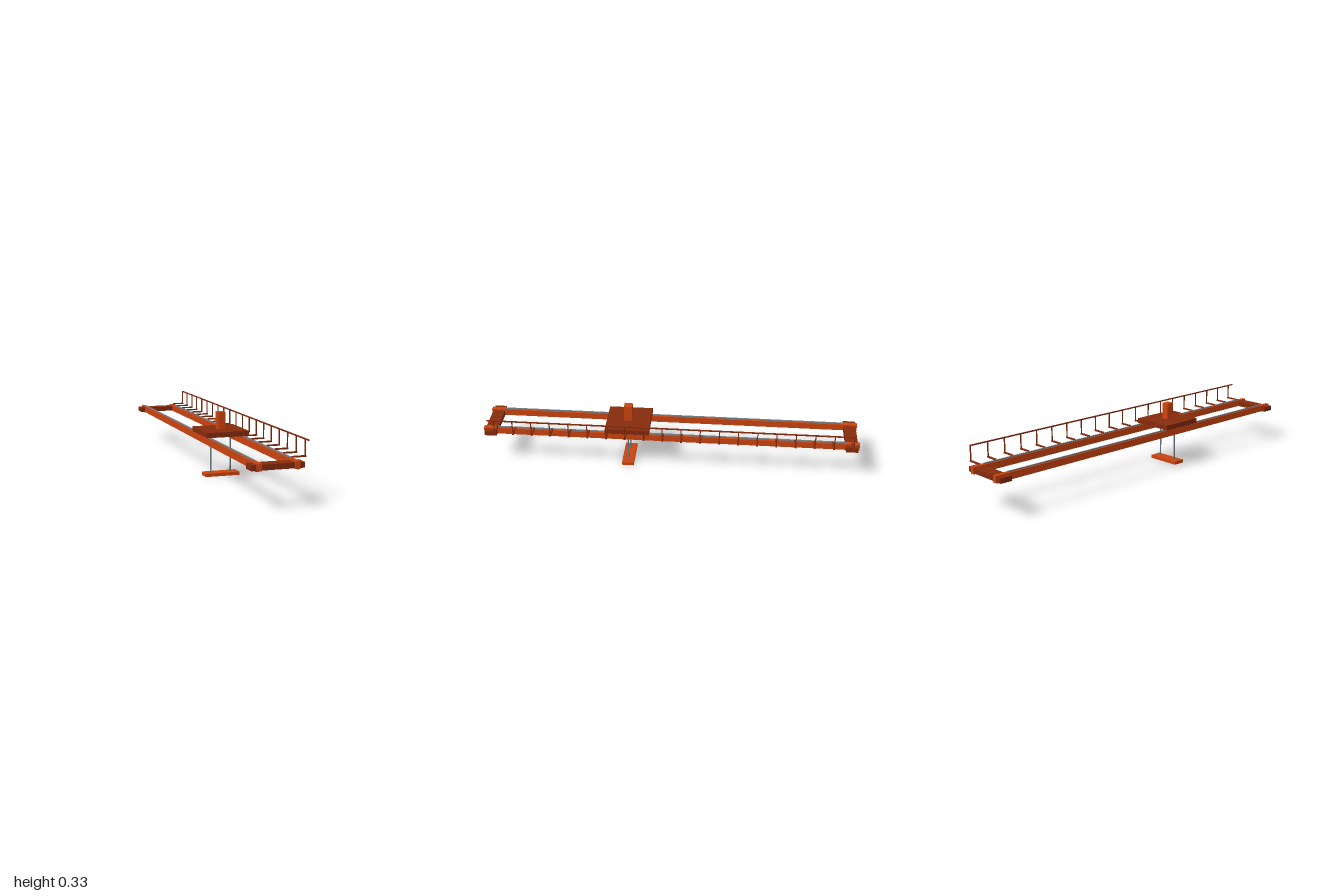
import * as THREE from 'three';

export function createModel() {
  const model = new THREE.Group();
  model.name = 'bridgeCrane';

  const material = (name, color) => {
    const m = new THREE.MeshStandardMaterial({ color });
    m.name = name;
    return m;
  };
  const orange = material('orange paint', 0xcc4410);
  const rust = material('dark rust paint', 0x862a0d);
  const steel = material('steel', 0x727d84);
  const rubber = material('dark wheel', 0x36383a);

  const add = (name, geometry, mat, x, y, z) => {
    const mesh = new THREE.Mesh(geometry, mat);
    mesh.name = name;
    mesh.position.set(x, y, z);
    model.add(mesh);
    return mesh;
  };
  const box = (name, mat, w, h, d, x, y, z) =>
    add(name, new THREE.BoxGeometry(w, h, d), mat, x, y, z);

  const midX = -0.018;
  const trolleyZ = 0.228;

  // Two long girders, each with a steel rail on top
  for (const s of [-1, 1]) {
    const x = midX + s * 0.0905;
    box('girder', orange, 0.023, 0.035, 2, x, 0.1945, 0);
    box('trolleyRail', steel, 0.008, 0.005, 1.86, x, 0.2145, 0);
  }

  // End trucks with a wheel under each corner
  for (const e of [-1, 1]) {
    box('endTruck', rust, 0.254, 0.026, 0.064, midX, 0.192, e * 0.96);
    for (const s of [-1, 1]) {
      const wheel = add('wheel', new THREE.CylinderGeometry(0.0155, 0.0155, 0.045, 20),
        rubber, midX + s * 0.0965, 0.1875, e * 0.963);
      wheel.rotation.x = Math.PI / 2;
    }
  }

  // Trolley with hoist block
  box('trolley', rust, 0.225, 0.026, 0.235, midX, 0.23, trolleyZ - 0.002);
  box('hoist', orange, 0.039, 0.088, 0.043, midX, 0.287, trolleyZ);

  // Ropes and lifting beam
  for (const s of [-1, 1]) {
    add('rope', new THREE.CylinderGeometry(0.004, 0.004, 0.202, 10), steel,
      midX + s * 0.053, 0.117, trolleyZ);
  }
  box('liftingBeam', orange, 0.184, 0.017, 0.064, midX + 0.001, 0.0085, trolleyZ);

  // Side railing: brackets, posts and one handrail
  const count = 20;
  for (let i = 0; i < count; i++) {
    const z = -0.96 + i * 0.0993;
    box('railingBracket', rust, 0.068, 0.007, 0.009, 0.109, 0.2175, z);
    box('railingPost', rust, 0.005, 0.078, 0.005, 0.139, 0.258, z);
  }
  box('handrail', rust, 0.006, 0.006, 1.924, 0.139, 0.295, 0);

  return model;
}
